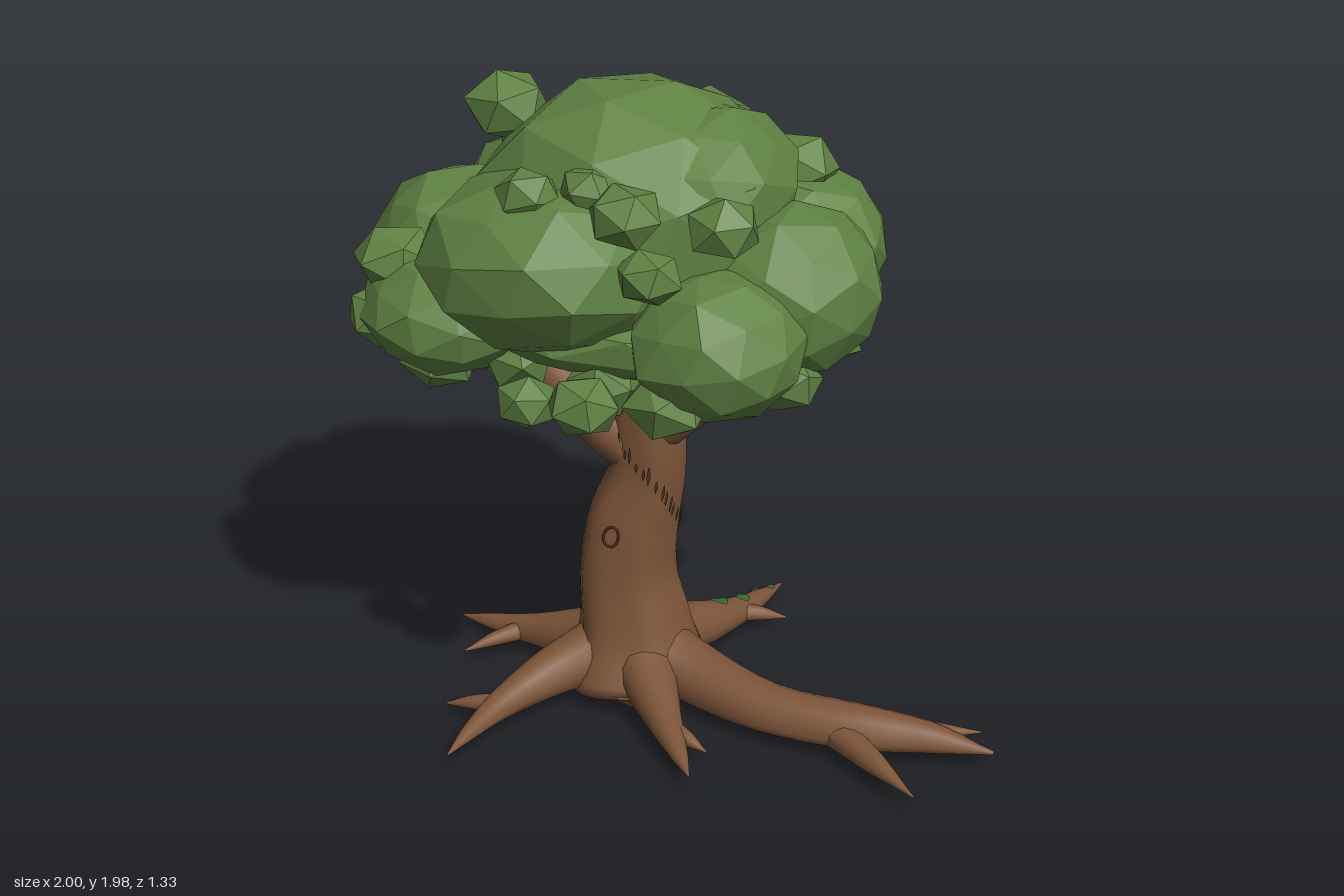
import * as THREE from 'three';

const mat = (name, color, extra = {}) => {
  const m = new THREE.MeshStandardMaterial({ color, ...extra });
  m.name = name;
  return m;
};

function indexedGeometry(pos, idx) {
  const geo = new THREE.BufferGeometry();
  geo.setAttribute('position', new THREE.Float32BufferAttribute(pos, 3));
  geo.setIndex(idx);
  geo.computeVertexNormals();
  return geo;
}

// Tapered limb through [x, y, z, radius] stops; surf(t, angle, lift) gives a point on its skin.
function makeLimb(stops, { ref = new THREE.Vector3(0, 1, 0), sides = 14, segs = 20, floor = -1, lobes = 0 } = {}) {
  const path = new THREE.CatmullRomCurve3(stops.map(s => new THREE.Vector3(s[0], s[1], s[2])));
  const radius = new THREE.CatmullRomCurve3(stops.map(s => new THREE.Vector3(s[3], 0, 0)), false, 'catmullrom', 0.4);
  const surf = (t, a, lift = 0) => {
    const p = path.getPoint(t), tan = path.getTangent(t);
    const u = ref.clone().cross(tan).normalize();
    const v = tan.clone().cross(u);
    const r = Math.max(radius.getPoint(t).x, 0.002) * (1 + lobes * Math.cos(5 * a + 3 * t)) + lift;
    p.addScaledVector(u, r * Math.cos(a)).addScaledVector(v, r * Math.sin(a));
    p.y = Math.max(p.y, floor);
    return p;
  };
  const pos = [], idx = [];
  for (let i = 0; i <= segs; i++)
    for (let j = 0; j < sides; j++) pos.push(...surf(i / segs, j / sides * Math.PI * 2).toArray());
  for (let i = 0; i < segs; i++)
    for (let j = 0; j < sides; j++) {
      const a = i * sides + j, b = i * sides + (j + 1) % sides;
      idx.push(a, b, b + sides, a, b + sides, a + sides);
    }
  // end caps
  const last = segs * sides;
  for (let j = 1; j < sides - 1; j++) idx.push(0, j + 1, j, last, last + j, last + j + 1);
  return { geo: indexedGeometry(pos, idx), surf, path };
}

// Lens-shaped thin patch lying on a limb's skin
function makePatch(surf, t0, t1, angle, halfWidth) {
  const pos = [], idx = [], n = 6, m = 4;
  for (let i = 0; i <= n; i++)
    for (let j = 0; j <= m; j++) {
      const w = halfWidth * (0.05 + Math.sin(Math.PI * i / n));
      pos.push(...surf(t0 + (t1 - t0) * i / n, angle + w * (j / m * 2 - 1), 0.005).toArray());
    }
  for (let i = 0; i < n; i++)
    for (let j = 0; j < m; j++) {
      const a = i * (m + 1) + j, b = a + m + 1;
      idx.push(a, a + 1, b + 1, a, b + 1, b);
    }
  return indexedGeometry(pos, idx);
}

// Stops of a root running over the ground from the trunk to its tip, bowed sideways by bend
function rootStops(tipX, tipZ, bend) {
  const x0 = -0.19, z0 = -0.02, dx = tipX - x0, dz = tipZ - z0;
  return [[0, 0.16, 0.12], [0.33, 0.1, 0.082], [0.62, 0.066, 0.05], [0.83, 0.054, 0.028], [1, 0.048, 0.003]].map(([k, y, r]) => {
    const side = bend * Math.sin(Math.PI * k);
    return [x0 + dx * k - dz * side, y, z0 + dz * k + dx * side, r];
  });
}

// Stops of a prong that forks off a limb's path at t
function prongStops(limb, t, x, z, r) {
  const p = limb.path.getPoint(t);
  return [[p.x, p.y, p.z, r], [(p.x + x) / 2, (p.y + 0.055) / 2, (p.z + z) / 2, r * 0.7], [x, 0.048, z, 0.003]];
}

// Faceted leaf clump, nudged by a rule so that shared corners stay together
function makeClump([x, y, z, rx, ry, rz], detail, seed) {
  const geo = new THREE.IcosahedronGeometry(1, detail);
  const p = geo.attributes.position, v = new THREE.Vector3();
  for (let i = 0; i < p.count; i++) {
    v.fromBufferAttribute(p, i);
    const k = 1.03 + 0.06 * Math.sin(5 * v.x + seed * 2.1) * Math.cos(4 * v.y + 3 * v.z + seed);
    p.setXYZ(i, v.x * k, v.y * k, v.z * k);
  }
  geo.rotateY(seed * 1.7);
  geo.rotateX(seed * 0.9);
  geo.scale(rx, ry, rz);
  geo.translate(x, y, z);
  geo.computeVertexNormals();
  return geo;
}

export function createModel() {
  const tree = new THREE.Group();
  tree.name = 'tree';
  const bark = mat('bark brown', 0x7d5539);
  const dark = mat('dark bark', 0x4a3020, { side: THREE.DoubleSide });
  const moss = mat('moss green', 0x3a6634, { side: THREE.DoubleSide });
  const leaf = mat('leaf green', 0x5f8243, { flatShading: true });
  const group = name => {
    const g = new THREE.Group();
    g.name = name;
    tree.add(g);
    return g;
  };
  const add = (parent, name, geo, material) => {
    const m = new THREE.Mesh(geo, material);
    m.name = name;
    parent.add(m);
  };

  // Trunk
  const wood = group('wood');
  const trunk = makeLimb([
    [-0.18, 0.045, -0.01, 0.23], [-0.19, 0.2, -0.02, 0.175], [-0.215, 0.38, -0.025, 0.15], [-0.2, 0.55, -0.03, 0.14],
    [-0.15, 0.74, -0.035, 0.115], [-0.14, 0.9, -0.03, 0.108], [-0.155, 1.1, -0.03, 0.098], [-0.17, 1.4, -0.03, 0.08],
  ], { ref: new THREE.Vector3(0, 0, 1), sides: 30, segs: 36, lobes: 0.04 });
  add(wood, 'trunk', trunk.geo, bark);

  // Stump below the roots
  const stump = new THREE.CylinderGeometry(0.2, 0.11, 0.07, 9);
  stump.scale(0.95, 1, 0.85);
  stump.translate(-0.14, 0.035, 0.05);
  add(wood, 'stump', stump, bark);

  // Branches
  [
    [[-0.14, 0.78, -0.02, 0.07], [-0.27, 0.9, 0.01, 0.082], [-0.62, 1.28, 0.1, 0.05]],
    [[-0.14, 0.86, -0.03, 0.07], [-0.02, 0.98, -0.02, 0.075], [0.32, 1.25, -0.02, 0.045]],
    [[-0.15, 0.92, -0.03, 0.07], [-0.16, 1.03, -0.13, 0.065], [-0.2, 1.28, -0.4, 0.04]],
  ].forEach(s => add(wood, 'branch', makeLimb(s, { ref: new THREE.Vector3(0.3, 0.1, 1) }).geo, bark));

  // Roots, flattened where they meet the ground
  const roots = group('roots');
  const addRoot = (name, stops) => {
    const limb = makeLimb(stops, { floor: 0.045 });
    add(roots, name, limb.geo, bark);
    return limb;
  };
  const longRoot = addRoot('longRoot', [
    [-0.2, 0.16, -0.02, 0.13], [0.02, 0.1, 0.03, 0.1], [0.3, 0.07, 0.11, 0.088],
    [0.58, 0.07, 0.11, 0.082], [0.8, 0.065, 0.07, 0.055], [1, 0.05, 0.05, 0.006],
  ]);
  addRoot('rootProng', prongStops(longRoot, 0.54, 0.85, 0.36, 0.055));
  addRoot('rootProng', prongStops(longRoot, 0.66, 0.93, -0.05, 0.045));
  // tip x, tip z, bend, prong tip x, prong tip z
  const shortRoots = [
    [-0.51, 0.66, 0.12, -0.64, 0.4], [0.2, 0.5, 0, 0.2, 0.36], [-0.82, -0.1, 0, -0.72, 0.1],
    [-0.52, -0.51, 0, -0.33, -0.5], [0.06, -0.67, 0.05, 0.15, -0.47],
  ].map(([x, z, bend, px, pz]) => {
    const limb = addRoot('root', rootStops(x, z, bend));
    addRoot('rootProng', prongStops(limb, 0.5, px, pz, 0.035));
    return limb;
  });

  // Bark streaks and knot
  const marks = group('barkMarks');
  for (let i = 0; i < 34; i++) {
    const t = 0.2 + 0.56 * ((i * 0.618) % 1);
    add(marks, 'barkStreak', makePatch(trunk.surf, t, t + 0.03 + 0.03 * ((i * 0.37) % 1), i * 2.4, 0.045), dark);
  }
  const knotPoints = [];
  for (let i = 0; i < 12; i++) {
    const q = i / 12 * Math.PI * 2;
    knotPoints.push(trunk.surf(0.435 + 0.024 * Math.sin(q), Math.PI * 0.47 + 0.17 * Math.cos(q), 0.002));
  }
  add(marks, 'knot', new THREE.TubeGeometry(new THREE.CatmullRomCurve3(knotPoints, true), 28, 0.004, 5, true), dark);

  // Moss on the back roots and the foot of the trunk
  const mossGroup = group('mossPatches');
  shortRoots.slice(3).forEach(({ surf }) => {
    for (let i = 0; i < 4; i++) {
      const t = 0.34 + i * 0.15;
      add(mossGroup, 'moss', makePatch(surf, t, t + 0.1, 1.55 + 0.35 * Math.sin(i * 2.5), 0.45), moss);
    }
  });
  for (const angle of [-1.3, -2]) add(mossGroup, 'moss', makePatch(trunk.surf, 0.11, 0.165, angle, 0.1), moss);

  // Large clumps of the canopy: centre, then radii
  const canopy = group('canopy');
  [
    [-0.17, 1.62, -0.03, 0.46, 0.36, 0.4], [-0.33, 1.53, 0.25, 0.38, 0.26, 0.33], [0.2, 1.36, 0.28, 0.25, 0.21, 0.25],
    [0.32, 1.44, 0, 0.26, 0.25, 0.27], [-0.73, 1.4, -0.03, 0.27, 0.23, 0.28], [-0.6, 1.43, -0.33, 0.26, 0.23, 0.26],
    [-0.23, 1.5, -0.39, 0.3, 0.26, 0.27], [0.23, 1.44, -0.32, 0.26, 0.23, 0.25], [-0.63, 1.33, 0.27, 0.26, 0.18, 0.25],
    [-0.2, 1.32, 0, 0.6, 0.15, 0.45], [0.05, 1.7, -0.03, 0.25, 0.23, 0.3],
  ].forEach((c, i) => add(canopy, 'largeClump', makeClump(c, 1, i + 1), leaf));

  // Small clumps: centre, then radius
  const addSmall = ([x, y, z, r], seed) =>
    add(canopy, 'smallClump', makeClump([x, y, z, r * 1.1, r * 0.9, r], 0, seed), leaf);
  [
    [-0.58, 1.86, -0.03, 0.12], [-0.8, 1.46, 0.28, 0.12], [-0.83, 1.3, 0.32, 0.11], [-0.34, 1.76, 0.36, 0.09],
    [-0.05, 1.74, 0.35, 0.1], [-0.18, 1.78, 0.3, 0.08], [-0.1, 1.23, 0.54, 0.1], [0.15, 1.38, -0.52, 0.11],
    [-0.1, 1.74, -0.4, 0.12], [0.2, 1.66, -0.35, 0.12], [0.2, 1.7, 0.24, 0.1], [-0.55, 1.66, -0.2, 0.13],
    [0.05, 1.6, 0.42, 0.09], [-0.4, 1.36, -0.56, 0.1],
  ].forEach((c, i) => addSmall(c, i + 3));

  // Ring of small clumps along the underside
  for (let i = 0; i < 18; i++) {
    const a = i / 18 * Math.PI * 2, k = i % 2 ? 1 : 0.72;
    addSmall([-0.2 + 0.6 * k * Math.cos(a), 1.2 + 0.03 * Math.sin(i * 2.3), 0.48 * k * Math.sin(a), 0.1 + 0.015 * Math.cos(i * 1.9)], i + 20);
  }

  return tree;
}
